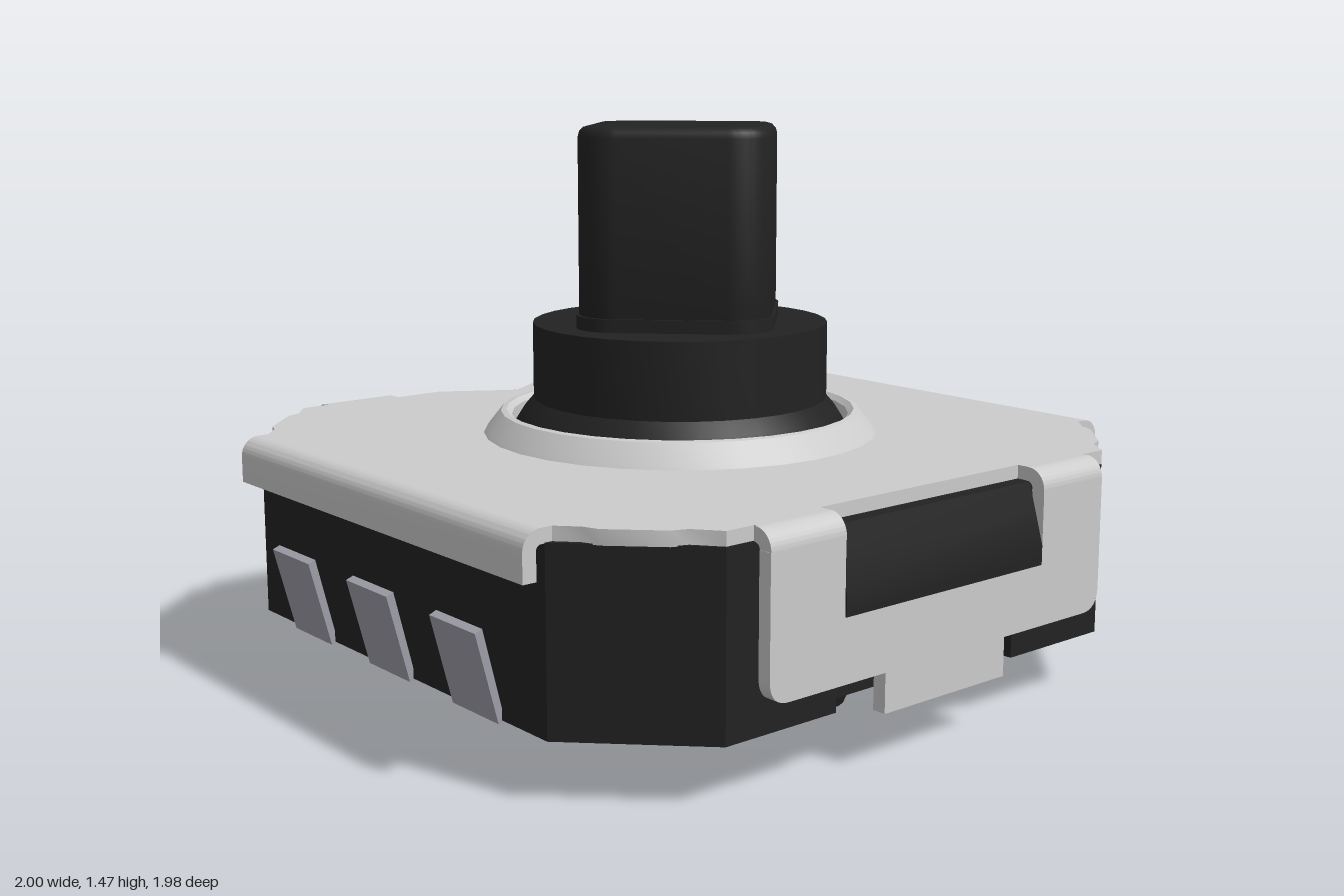
import * as THREE from 'three';
import { toCreasedNormals } from 'three/addons/utils/BufferGeometryUtils.js';

const mat = (name, color) => new THREE.MeshStandardMaterial({ name, color });

export function createModel() {
  const root = new THREE.Group();
  root.name = 'tactileSwitch';
  const black = mat('blackPlastic', 0x222222);
  const steel = mat('steelCover', 0xcccccc);
  const tin = mat('terminalMetal', 0x9e9ea8);
  steel.side = THREE.DoubleSide;

  const add = (name, geo, material, angle = 0) => {
    const mesh = new THREE.Mesh(toCreasedNormals(geo, 0.6), material);
    mesh.name = name;
    mesh.rotation.y = angle;
    root.add(mesh);
    return mesh;
  };
  const poly = (pts) => new THREE.Shape(pts.map(([x, y]) => new THREE.Vector2(x, y)));
  // plan outline (x, -z) raised between two heights
  const raise = (shape, y0, y1, bevel = 0) => {
    const g = new THREE.ExtrudeGeometry(shape, {
      depth: y1 - y0 - bevel, bevelEnabled: bevel > 0, bevelSize: bevel, bevelThickness: bevel,
      bevelOffset: -bevel, bevelSegments: 3, curveSegments: 10,
    });
    return g.rotateX(-Math.PI / 2).translate(0, y0, 0);
  };
  // side profile (outward, y) swept along the side, centred at offset
  const sweep = (shape, width, offset = 0) =>
    new THREE.ExtrudeGeometry(shape, { depth: width, bevelEnabled: false, curveSegments: 8 })
      .translate(0, 0, offset - width / 2);
  const lathe = (pts, seg = 32) =>
    new THREE.LatheGeometry(pts.map(([x, y]) => new THREE.Vector2(x, y)), seg);
  // four-fold outline from one quadrant, counter-clockwise
  const quad = (q) => {
    const rev = [...q].reverse();
    return [...q, ...rev.map(([x, y]) => [-x, y]), ...q.map(([x, y]) => [-x, -y]), ...rev.map(([x, y]) => [x, -y])];
  };

  // housing: octagon, with a notch at front and back in its lower layer
  add('housing', raise(poly(quad([[0.93, 0.65], [0.65, 0.93]])), 0.24, 0.605), black);
  add('housingFoot', raise(poly(quad([[0.93, 0.65], [0.65, 0.93], [0.31, 0.93], [0.31, 0.86]])), 0.15, 0.24), black);
  add('basePad', raise(poly(quad([[0.66, 0.65]])), 0.14, 0.16), black);

  // locating pegs
  for (const [name, r, z] of [['frontPeg', 0.125, 0.51], ['rearPeg', 0.088, -0.5]]) {
    add(name, lathe([[0, 0], [r - 0.025, 0], [r, 0.06], [r, 0.15]], 24), black).position.z = z;
  }

  // cover sheet with wavy corners, window cut-outs and a rear V notch
  const corner = [[0.94, 0.65], [0.91, 0.65], [0.865, 0.7], [0.85, 0.74], [0.74, 0.85], [0.7, 0.865],
    [0.65, 0.93], [0.57, 0.93], [0.57, 0.94], [0.345, 0.94], [0.345, 0.905]];
  const outline = quad(corner);
  outline.splice(corner.length, 0, [0.2, 0.905], [0, 0.78], [-0.2, 0.905]);
  const sheet = poly(outline);
  sheet.holes.push(new THREE.Path().absarc(0, 0, 0.465, 0, Math.PI * 2, true));
  add('coverSheet', raise(sheet, 0.603, 0.64), steel);
  add('coverCollar', lathe([[0.54, 0.635], [0.53, 0.65], [0.49, 0.7], [0.475, 0.703], [0.46, 0.69], [0.46, 0.6]]), steel);

  // rounded sheet fold with a leg ending at the given height
  const fold = (bottom) => {
    const s = new THREE.Shape();
    s.moveTo(0.94, 0.64);
    s.absarc(0.94, 0.59, 0.05, Math.PI / 2, 0, true);
    s.lineTo(0.99, bottom);
    s.lineTo(0.953, bottom);
    s.lineTo(0.953, 0.59);
    s.absarc(0.94, 0.59, 0.013, 0, Math.PI / 2, false);
    return s;
  };

  // U-shaped clip outline with a lower tab
  const clip = new THREE.Shape();
  clip.moveTo(-0.575, 0.59);
  clip.lineTo(-0.575, 0.3);
  clip.quadraticCurveTo(-0.575, 0.24, -0.515, 0.24);
  for (const [x, y] of [[-0.21, 0.24], [-0.21, 0.14], [0.21, 0.14], [0.21, 0.24], [0.515, 0.24]]) clip.lineTo(x, y);
  clip.quadraticCurveTo(0.575, 0.24, 0.575, 0.3);
  for (const [x, y] of [[0.575, 0.59], [0.345, 0.59], [0.345, 0.4], [-0.345, 0.4], [-0.345, 0.59]]) clip.lineTo(x, y);

  const latch = poly([[0.85, 0.4], [0.992, 0.4], [0.992, 0.45], [0.965, 0.54], [0.945, 0.605], [0.85, 0.605]]);
  const terminal = poly([[0.78, 0.143], [0.94, 0.143], [1, 0.37], [0.98, 0.378], [0.925, 0.158], [0.78, 0.158]]);

  for (const turn of [0, Math.PI]) {
    // left and right: cover skirts and three terminals each
    add('coverSkirt', sweep(fold(0.52), 1.3), steel, turn);
    for (const z of [-0.38, 0, 0.38]) add('terminal', sweep(terminal, 0.19, z), tin, turn);
    // front and back: folds, clip and latch block
    for (const x of [-0.459, 0.459]) add('clipFold', sweep(fold(0.58), 0.23, x), steel, turn - Math.PI / 2);
    add('coverClip', new THREE.ExtrudeGeometry(clip, { depth: 0.037, bevelEnabled: false }).translate(0, 0, 0.953), steel, turn);
    add('latchBlock', sweep(latch, 0.685), black, turn - Math.PI / 2);
  }

  // plunger: flared round base
  add('plungerBase', lathe([[0.455, 0.62], [0.455, 0.66], [0.43, 0.7], [0.4, 0.735], [0.4, 0.94], [0, 0.94]]), black);

  // stem: rounded square turned by 45 degrees, on a slightly wider foot
  const roundedSquare = (a, r) => {
    const s = new THREE.Shape();
    [[1, 1], [-1, 1], [-1, -1], [1, -1]].forEach(([sx, sy], i) =>
      s.absarc(sx * (a - r), sy * (a - r), r, i * Math.PI / 2, (i + 1) * Math.PI / 2, false));
    s.closePath();
    return s;
  };
  add('stemFoot', raise(roundedSquare(0.262, 0.11), 0.93, 0.975), black, Math.PI / 4);
  add('stem', raise(roundedSquare(0.255, 0.11), 0.95, 1.47, 0.03), black, Math.PI / 4);

  return root;
}
